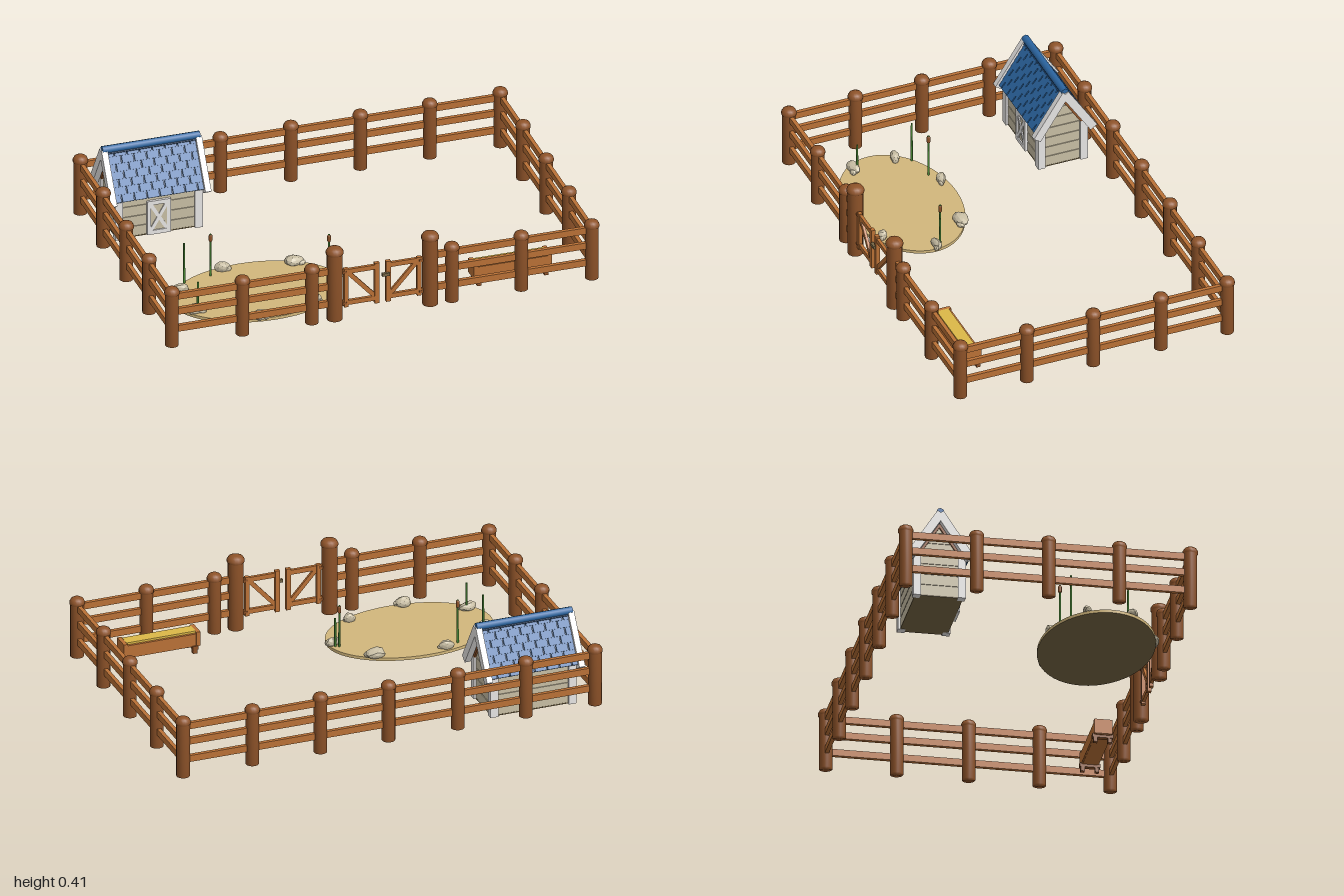
import * as THREE from 'three';

const mat = (name, color) => {
  const m = new THREE.MeshStandardMaterial({ color });
  m.name = name;
  return m;
};
const M = {
  post: mat('dark wood', 0x8e5329),
  rail: mat('light wood', 0xba7136),
  blue: mat('roof blue', 0x2c66a2),
  navy: mat('roof dark blue', 0x1c3f66),
  white: mat('white trim', 0xeeeceb),
  cream: mat('cream planks and stone', 0xc8bea4),
  sand: mat('pond sand', 0xd2b77c),
  under: mat('shaded earth', 0x766645),
  green: mat('reed green', 0x4a8a35),
  hay: mat('feed', 0xdcb848),
};

function add(parent, name, geo, material, x = 0, y = 0, z = 0) {
  const m = new THREE.Mesh(geo, material);
  m.name = name;
  m.position.set(x, y, z);
  parent.add(m);
  return m;
}
const box = (parent, name, w, h, d, material, x, y, z) =>
  add(parent, name, new THREE.BoxGeometry(w, h, d), material, x, y, z);
function group(parent, name, x = 0, y = 0, z = 0) {
  const g = new THREE.Group();
  g.name = name;
  g.position.set(x, y, z);
  parent.add(g);
  return g;
}
// Flat bar in the XY plane between two points
function bar(parent, name, x0, y0, x1, y1, z, size, depth, material) {
  const m = box(parent, name, Math.hypot(x1 - x0, y1 - y0), size, depth, material, (x0 + x1) / 2, (y0 + y1) / 2, z);
  m.rotation.z = Math.atan2(y1 - y0, x1 - x0);
}

const X = [-0.97, -0.645, -0.325, 0, 0.32, 0.64, 0.965];
const Z = [-0.635, -0.32, 0, 0.315, 0.63];

// Round log post with a domed, slightly wider cap
function post(parent, name, x, z, r, h) {
  const pts = [[0, 0.008], [r, 0.008], [r, h - 0.035], [r * 1.12, h - 0.032], [r * 1.12, h - 0.02],
    [r * 0.9, h - 0.008], [r * 0.5, h - 0.001], [0, h]].map(p => new THREE.Vector2(...p));
  add(parent, name, new THREE.LatheGeometry(pts, 16), M.post, x, 0, z);
}

function buildFence(root) {
  const fence = group(root, 'fence');
  for (const x of X) {
    post(fence, 'fencePost', x, Z[0], 0.03, 0.295);
    if (x !== 0) post(fence, 'fencePost', x, Z[4], 0.03, 0.295);
  }
  for (const z of Z.slice(1, 4)) for (const x of [X[0], X[6]]) post(fence, 'fencePost', x, z, 0.03, 0.295);
  for (const y of [0.248, 0.173, 0.088]) {
    box(fence, 'backRail', 1.935, 0.031, 0.018, M.rail, 0, y, Z[0]);
    for (const x of [X[0], X[6]]) box(fence, 'sideRail', 0.018, 0.031, 1.265, M.rail, x, y, 0);
    for (const s of [-1, 1]) box(fence, 'frontRail', 0.748, 0.031, 0.018, M.rail, s * 0.594, y, Z[4]);
  }
}

function buildGate(root) {
  const gate = group(root, 'gate', 0, 0, Z[4]);
  for (const s of [-1, 1]) {
    post(gate, 'gatePost', s * 0.22, 0, 0.035, 0.365);
    const leaf = group(gate, 'gateLeaf');
    box(leaf, 'hingeStile', 0.02, 0.19, 0.018, M.rail, s * 0.168, 0.155, 0);
    box(leaf, 'meetingStile', 0.022, 0.2, 0.018, M.rail, s * 0.026, 0.155, 0);
    for (const y of [0.235, 0.08]) {
      box(leaf, 'gateRail', 0.17, 0.022, 0.014, M.rail, s * 0.1, y, 0);
      box(leaf, 'hinge', 0.03, 0.01, 0.02, M.post, s * 0.182, y, 0);
    }
    bar(leaf, 'gateBrace', s * 0.16, 0.23, s * 0.03, 0.085, 0, 0.02, 0.012, M.rail);
  }
  box(gate, 'latch', 0.035, 0.014, 0.014, M.under, 0.012, 0.195, 0.012);
}

// Horizontal slice of the house body between two heights, spanning its length
function slice(y0, y1, inset, length) {
  const half = y => Math.min(0.106, (0.365 - y) * 0.65) - inset;
  const ys = y0 < 0.2 && y1 > 0.2 ? [y0, 0.2, y1] : [y0, y1];
  const pts = [...ys.map(y => [half(y), y]), ...[...ys].reverse().map(y => [-half(y), y])];
  const g = new THREE.ExtrudeGeometry(new THREE.Shape(pts.map(p => new THREE.Vector2(...p))),
    { depth: length, bevelEnabled: false });
  return g.translate(0, 0, -length / 2).rotateY(Math.PI / 2);
}

function buildHouse(root) {
  const house = group(root, 'house', -0.7, 0, -0.472);
  add(house, 'wallCore', slice(0.005, 0.35, 0.004, 0.376), M.cream);
  box(house, 'houseFloor', 0.386, 0.005, 0.214, M.under, 0, 0.0035, 0);
  for (let i = 0; i < 7; i++) {
    const y = 0.006 + i * 0.05;
    add(house, 'wallPlank', slice(y, Math.min(y + 0.046, 0.36), 0, 0.384), M.cream);
  }
  for (const sx of [-1, 1]) {
    for (const sz of [-1, 1]) {
      box(house, 'cornerPost', 0.036, 0.205, 0.034, M.white, sx * 0.184, 0.1025, sz * 0.1);
      // White gable boards with a wooden strip beneath
      const board = box(house, 'gableBoard', 0.028, 0.038, 0.25, M.white, sx * 0.217, 0.284, sz * 0.066);
      const strip = box(house, 'gableStrip', 0.01, 0.014, 0.2, M.post, sx * 0.196, 0.262, sz * 0.053);
      board.rotation.x = strip.rotation.x = sz * 0.994;
    }
  }

  // Roof slopes with staggered, overlapping shingles
  const rows = 7, step = 0.034, pitch = 0.0583, edge = 0.204;
  for (const s of [1, -1]) {
    const side = group(house, 'roofSide', 0, 0.394, 0);
    side.rotation.y = s > 0 ? 0 : Math.PI;
    const slope = group(side, 'roofSlope');
    slope.rotation.x = 0.994;
    box(slope, 'roofDeck', 0.408, 0.02, 0.236, M.navy, 0, -0.012, 0.118);
    for (let r = 0; r < rows; r++) {
      for (let c = 0; c <= 7; c++) {
        const left = -edge + (c - (r % 2 ? 0 : 0.5)) * pitch;
        const a = Math.max(-edge, left), b = Math.min(edge, left + pitch);
        if (b - a < 0.015) continue;
        const tile = box(slope, 'shingle', b - a - 0.006, 0.007, step + 0.002, M.blue,
          (a + b) / 2, 0.0015, (r + 0.5) * step);
        tile.rotation.x = -0.08;
      }
    }
  }
  const ridge = add(house, 'ridgeCap', new THREE.CylinderGeometry(0.018, 0.018, 0.45, 8), M.blue, 0, 0.396, 0);
  ridge.rotation.z = Math.PI / 2;

  // Door with frame and crossed braces
  const door = group(house, 'door', 0, 0, 0.108);
  box(door, 'doorPanel', 0.1, 0.16, 0.008, M.cream, 0, 0.085, 0);
  for (const s of [-1, 1]) {
    box(door, 'doorStile', 0.018, 0.165, 0.014, M.white, s * 0.046, 0.086, 0.003);
    box(door, 'doorRail', 0.1, 0.02, 0.014, M.white, 0, 0.086 + s * 0.073, 0.003);
    bar(door, 'doorBrace', -0.038, 0.086 - s * 0.065, 0.038, 0.086 + s * 0.065, 0.003, 0.016, 0.012, M.white);
  }
}

// Lumpy stone made by displacing a low-poly ball with smooth waves
function stone(seed, w, h, d) {
  const g = new THREE.IcosahedronGeometry(1, 1), p = g.attributes.position;
  for (let i = 0; i < p.count; i++) {
    const x = p.getX(i), y = p.getY(i), z = p.getZ(i);
    const k = 1 + 0.1 * Math.sin(3 * x + seed * 1.7) + 0.08 * Math.sin(4 * z + 2 * y + seed * 2.3);
    p.setXYZ(i, x * k * w, y * k * h, z * k * d);
  }
  g.computeVertexNormals();
  return g;
}

function buildPond(root) {
  const pond = group(root, 'pond');
  const disc = add(pond, 'pondBed', new THREE.CylinderGeometry(1, 1, 0.014, 48), [M.sand, M.sand, M.under],
    -0.467, 0.016, 0.305);
  disc.scale.set(0.383, 1, 0.255);
  // Stones: x, z, half width, half depth
  const stones = [[-0.555, 0.083, 0.038, 0.02], [-0.235, 0.122, 0.044, 0.032], [-0.105, 0.294, 0.032, 0.02],
    [-0.259, 0.485, 0.028, 0.019], [-0.532, 0.544, 0.04, 0.025], [-0.78, 0.403, 0.038, 0.028], [-0.79, 0.205, 0.035, 0.02]];
  stones.forEach(([x, z, w, d], i) => {
    add(pond, 'stone', stone(i + 1, w, 0.024, d), M.cream, x, 0.037, z).rotation.y = (i % 3 - 1) * 0.2;
    add(pond, 'smallStone', stone(i + 9, w * 0.45, 0.014, d * 0.6), M.cream, x + w * 0.6, 0.03, z + d * 0.4);
  });
  // Reeds: x, z, height, whether it carries a seed head
  const reeds = [[-0.62, 0.115, 0.23, 1], [-0.75, 0.14, 0.22, 0], [-0.77, 0.39, 0.16, 0], [-0.125, 0.268, 0.222, 1],
    [-0.108, 0.275, 0.16, 0]];
  for (const [x, z, h, head] of reeds) {
    add(pond, 'reedStem', new THREE.CylinderGeometry(0.0045, 0.0055, h - 0.01, 6), M.green, x, h / 2 + 0.005, z);
    if (head) add(pond, 'reedHead', new THREE.CapsuleGeometry(0.0085, 0.02, 4, 8), M.post, x, h - 0.019, z);
  }
}

function buildTrough(root) {
  const t = group(root, 'trough', 0.63, 0, 0.505);
  box(t, 'troughFloor', 0.35, 0.016, 0.066, M.rail, 0, 0.046, 0);
  box(t, 'feed', 0.325, 0.055, 0.056, M.hay, 0, 0.082, 0);
  for (const s of [-1, 1]) {
    box(t, 'troughSide', 0.35, 0.06, 0.012, M.rail, 0, 0.07, s * 0.033);
    box(t, 'troughEnd', 0.02, 0.068, 0.08, M.rail, s * 0.17, 0.074, 0);
    box(t, 'troughFoot', 0.024, 0.018, 0.092, M.post, s * 0.155, 0.035, 0);
    for (const z of [-0.032, 0.032]) box(t, 'troughLeg', 0.02, 0.032, 0.018, M.post, s * 0.155, 0.022, z);
  }
}

export function createModel() {
  const root = new THREE.Group();
  root.name = 'yard';
  buildFence(root);
  buildGate(root);
  buildHouse(root);
  buildPond(root);
  buildTrough(root);
  return root;
}
